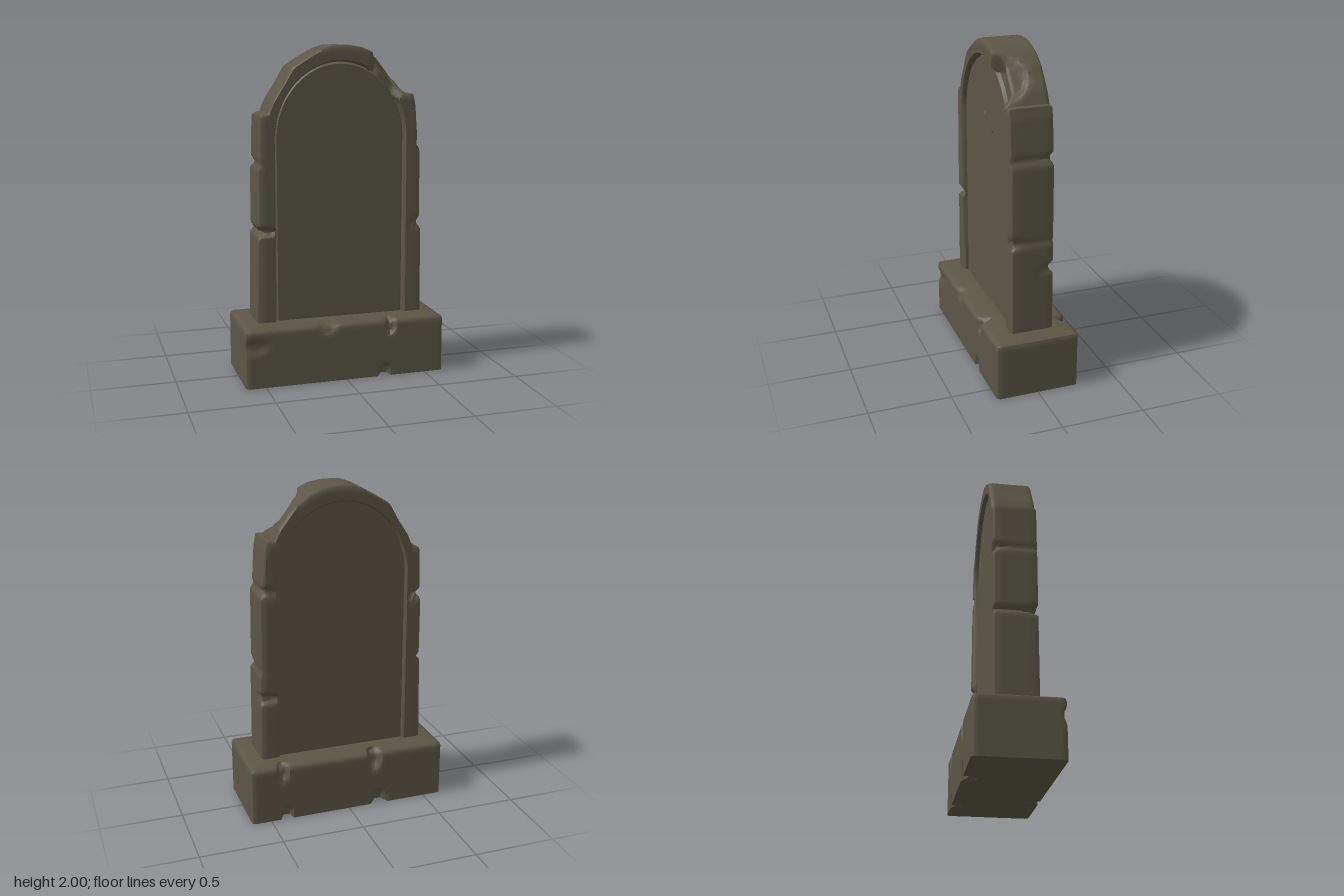
import * as THREE from 'three';
import { mergeVertices, toCreasedNormals } from 'three/addons/utils/BufferGeometryUtils.js';

const stone = new THREE.MeshStandardMaterial({ color: 0x5b5645 });
stone.name = 'weathered stone';

// Dents: centre, radii and the push applied at the centre
const baseDents = [
  { c: [0.28, 0.32, 0.25], r: [0.035, 0.07, 0.1], d: [0, -0.015, -0.03] },
  { c: [0.24, 0, 0.25], r: [0.04, 0.08, 0.08], d: [0, 0.012, -0.03] },
  { c: [-0.57, 0.25, 0.25], r: [0.1, 0.05, 0.06], d: [0, 0, -0.015] },
  { c: [-0.12, 0.34, 0.25], r: [0.07, 0.05, 0.05], d: [0, -0.01, -0.015] },
  { c: [-0.17, 0.34, -0.25], r: [0.05, 0.12, 0.08], d: [0, -0.015, 0.04] },
  { c: [-0.2, 0, -0.25], r: [0.05, 0.1, 0.08], d: [0, 0.015, 0.035] },
  { c: [0.42, 0.34, -0.25], r: [0.04, 0.1, 0.07], d: [0, -0.01, 0.03] },
  { c: [0.4, 0, -0.25], r: [0.04, 0.09, 0.07], d: [0, 0.015, 0.03] },
];
const frameDents = [
  { c: [0.31, 1.84, 0.13], r: [0.15, 0.17, 0.16], d: [-0.02, -0.03, -0.06] },
  { c: [0.22, 1.87, 0.13], r: [0.04, 0.13, 0.1], d: [0, 0, -0.025] },
  { c: [-0.49, 0.91, 0.13], r: [0.11, 0.035, 0.1], d: [0.015, 0, -0.025] },
  { c: [0.5, 0.92, 0.13], r: [0.07, 0.04, 0.08], d: [-0.01, 0, -0.015] },
  { c: [0.5, 0.75, -0.13], r: [0.12, 0.04, 0.1], d: [-0.01, 0, 0.025] },
  { c: [0.49, 1.41, -0.13], r: [0.1, 0.035, 0.08], d: [-0.01, 0, 0.015] },
  { c: [-0.49, 1.31, -0.13], r: [0.08, 0.035, 0.08], d: [0.01, 0, 0.02] },
];

function dent(p, dents) {
  const start = p.clone();
  for (const { c, r, d } of dents) {
    const q = Math.hypot((start.x - c[0]) / r[0], (start.y - c[1]) / r[1], (start.z - c[2]) / r[2]);
    if (q < 1) p.addScaledVector(new THREE.Vector3(...d), Math.min(1, 2 * (1 - q)));
  }
  return p;
}

function mesh(name, geometry) {
  const m = new THREE.Mesh(geometry, stone);
  m.name = name;
  return m;
}

// Plinth: fine box with softened upper edges and broken corners
function plinth() {
  const raw = new THREE.BoxGeometry(1.24, 0.36, 0.51, 62, 18, 26).translate(0, 0.18, 0);
  raw.deleteAttribute('uv');
  raw.deleteAttribute('normal');
  const geo = mergeVertices(raw);
  const pos = geo.attributes.position, p = new THREE.Vector3(), q = new THREE.Vector3();
  const R = 0.02;
  for (let i = 0; i < pos.count; i++) {
    p.fromBufferAttribute(pos, i);
    q.set(
      THREE.MathUtils.clamp(p.x, -0.62 + R, 0.62 - R),
      Math.min(p.y, 0.36 - R),
      THREE.MathUtils.clamp(p.z, -0.255 + R, 0.255 - R));
    const off = p.clone().sub(q);
    if (off.length() > R) p.copy(q).addScaledVector(off.normalize(), R);
    // top falls away slightly towards the rim
    const rim = Math.max(Math.abs(p.x) - 0.52, Math.abs(p.z) - 0.155, 0);
    p.y -= 0.12 * rim * (p.y / 0.36);
    dent(p, baseDents);
    pos.setXYZ(i, p.x, p.y, p.z);
  }
  return toCreasedNormals(geo, 0.7);
}

// Inner arch line shared by the frame and the panel
function archPath() {
  return new THREE.Path()
    .moveTo(-0.4, 0.3)
    .lineTo(-0.4, 1.45)
    .absellipse(0, 1.45, 0.4, 0.45, Math.PI, 0, true)
    .lineTo(0.4, 0.3);
}

// Chipped outer silhouette, bottom left over the top to bottom right
const outline = [
  [-0.522, 0.3], [-0.515, 0.6], [-0.51, 0.88], [-0.485, 0.905], [-0.505, 0.935], [-0.505, 1.28],
  [-0.488, 1.31], [-0.497, 1.34], [-0.49, 1.59], [-0.48, 1.6], [-0.443, 1.605], [-0.41, 1.68], [-0.35, 1.77],
  [-0.29, 1.875], [-0.2, 1.93], [-0.12, 1.975], [-0.05, 1.998], [0.05, 1.998], [0.13, 1.985],
  [0.2, 1.955], [0.28, 1.9], [0.33, 1.835], [0.38, 1.77], [0.41, 1.705], [0.455, 1.71],
  [0.47, 1.64], [0.485, 1.44], [0.478, 1.41], [0.5, 1.375], [0.507, 0.95], [0.5, 0.92],
  [0.513, 0.89], [0.52, 0.3],
];

// Frame: a rounded section swept between the inner arch and the silhouette
function frame() {
  const N = 240;
  const outer = new THREE.Path(outline.map(([x, y]) => new THREE.Vector2(x, y))).getSpacedPoints(N);
  const inner = archPath().getSpacedPoints(N);
  const front = [[0, 0.085], [0.02, 0.118], [0.12, 0.13], [0.35, 0.13], [0.6, 0.13], [0.86, 0.13],
    [0.97, 0.122], [1, 0.105], [1, 0.07], [1, 0.035]];
  const section = [...front, [1, 0], ...front.map(([t, z]) => [t, -z]).reverse()];
  const M = section.length, verts = [], index = [];
  for (let i = 0; i <= N; i++) {
    section.forEach(([t, z], j) => {
      const xy = inner[i].clone().lerp(outer[i], t);
      const p = dent(new THREE.Vector3(xy.x, xy.y, z), frameDents);
      verts.push(p.x, p.y, p.z);
      if (i < N && j < M - 1) {
        const a = i * M + j, b = a + M;
        index.push(a, b, a + 1, b, b + 1, a + 1);
      }
    });
  }
  const geo = new THREE.BufferGeometry();
  geo.setAttribute('position', new THREE.Float32BufferAttribute(verts, 3));
  geo.setIndex(index);
  return toCreasedNormals(geo, 0.7);
}

// Worn cross with a pointed foot, cut into the front of the panel
function crossPath() {
  const pts = [[-0.045, 1.76], [0.04, 1.77], [0.04, 1.55], [0.19, 1.55], [0.2, 1.46], [0.055, 1.46],
    [0.05, 1.23], [0, 1.16], [-0.06, 1.23], [-0.06, 1.47], [-0.15, 1.46], [-0.205, 1.51], [-0.2, 1.545], [-0.05, 1.545]];
  return new THREE.Path(pts.map(([x, y]) => new THREE.Vector2(x, y)));
}

function panelShape() {
  return new THREE.Shape(archPath().getPoints(40));
}

export function createModel() {
  const model = new THREE.Group();
  model.name = 'gravestone';

  model.add(mesh('plinth', plinth()));
  model.add(mesh('archedFrame', frame()));

  // Recessed panel: solid core plus a front layer pierced by the cross
  const core = new THREE.ExtrudeGeometry(panelShape(), { depth: 0.185, bevelEnabled: false });
  model.add(mesh('panelCore', core.translate(0, 0, -0.105)));

  const pierced = panelShape();
  pierced.holes.push(crossPath());
  const face = new THREE.ExtrudeGeometry(pierced, {
    depth: 0.005, bevelThickness: 0.02, bevelSize: 0.012, bevelOffset: -0.012, bevelSegments: 1,
  });
  model.add(mesh('panelFaceWithCross', face.translate(0, 0, 0.08)));

  return model;
}
